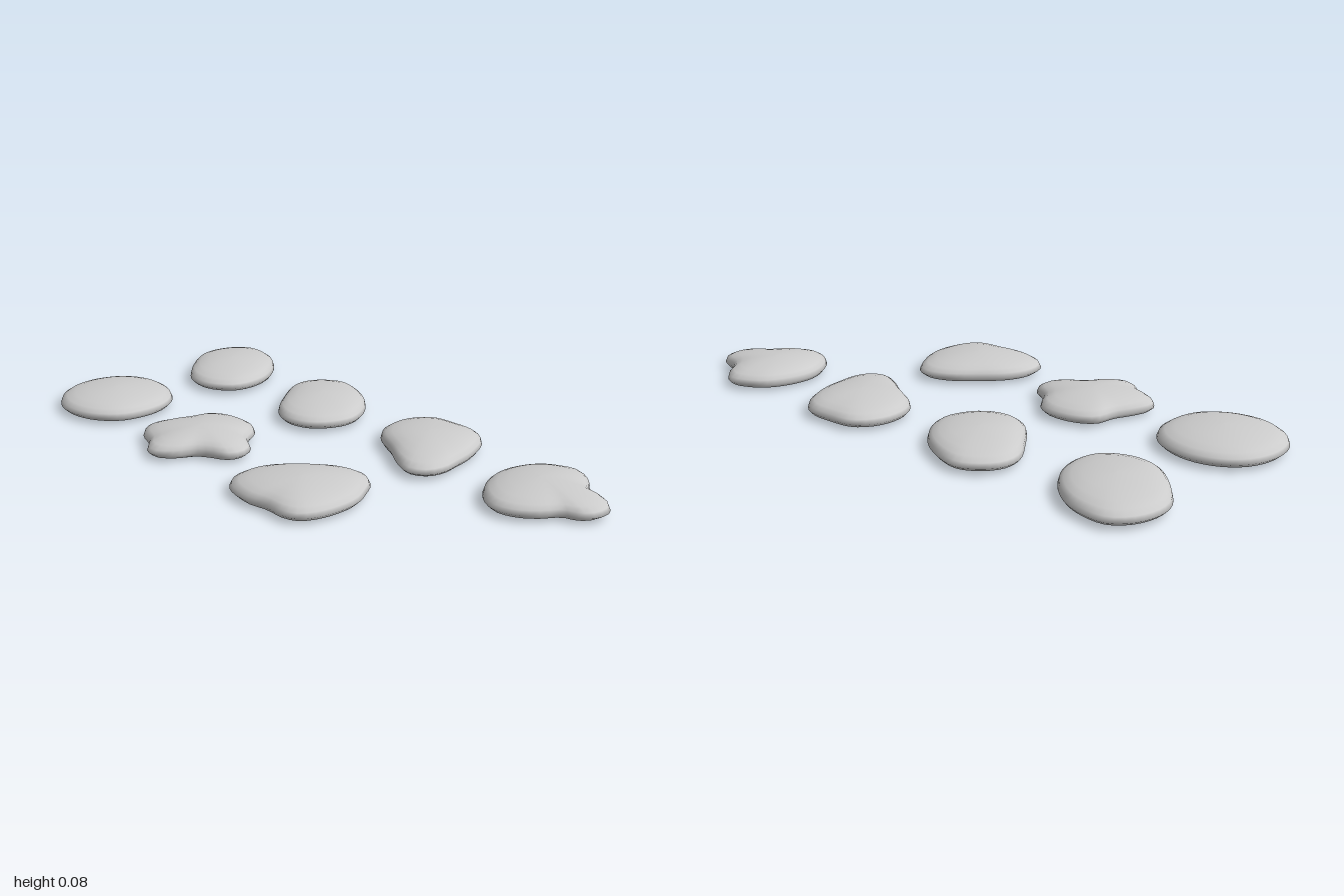
import * as THREE from 'three';

const material = new THREE.MeshStandardMaterial({ color: 0xcccccc });
const SEGMENTS = 44;

// Side profile from underside centre to crown: [share of outline, height]
const PROFILE = [
  [0, 0], [0.5, 0.001], [0.82, 0.004], [0.93, 0.009], [1, 0.022], [0.97, 0.038],
  [0.88, 0.05], [0.73, 0.06], [0.52, 0.068], [0.3, 0.073], [0.12, 0.075], [0, 0.0755],
];

// One flat stone: outline [x, z, ...] clockwise from above, domed about (cx, cz)
function pebble(name, cx, cz, outline) {
  const corners = [];
  for (let i = 0; i < outline.length; i += 2) corners.push(new THREE.Vector3(outline[i] - cx, 0, outline[i + 1] - cz));
  const edge = new THREE.CatmullRomCurve3(corners, true).getSpacedPoints(SEGMENTS).slice(0, SEGMENTS);
  const mean = edge.reduce((sum, p) => sum + p.length(), 0) / SEGMENTS;

  // Rings follow the outline at the rim and grow rounder toward the middle
  const positions = [], index = [];
  PROFILE.forEach(([s, y], i) => {
    edge.forEach((p, j) => {
      const r = s * THREE.MathUtils.lerp(mean / p.length(), 1, s);
      positions.push(cx + p.x * r, y, cz + p.z * r);
      if (i === PROFILE.length - 1) return;
      const a = i * SEGMENTS + j, b = i * SEGMENTS + (j + 1) % SEGMENTS;
      const c = a + SEGMENTS, d = b + SEGMENTS;
      if (i > 0) index.push(a, c, b);
      if (i < PROFILE.length - 2) index.push(b, c, d);
      if (i === 0) index.push(b, c, d);
    });
  });
  const geometry = new THREE.BufferGeometry();
  geometry.setAttribute('position', new THREE.Float32BufferAttribute(positions, 3));
  geometry.setIndex(index);
  geometry.computeVertexNormals();
  const mesh = new THREE.Mesh(geometry, material);
  mesh.name = name;
  return mesh;
}

export function createModel() {
  const group = new THREE.Group();
  group.name = 'pebbles';

  // Back row
  group.add(pebble('ovalPebble', -0.8, -0.27, [
    -0.92, -0.47, -0.8, -0.46, -0.7, -0.4, -0.62, -0.3, -0.595, -0.2, -0.61, -0.13, -0.67, -0.08,
    -0.735, -0.065, -0.815, -0.083, -0.91, -0.16, -0.985, -0.255, -1, -0.335, -0.975, -0.42]));
  group.add(pebble('slantedPebble', -0.265, -0.27, [
    -0.355, -0.473, -0.25, -0.446, -0.16, -0.393, -0.09, -0.313, -0.06, -0.227, -0.09, -0.13, -0.14, -0.083,
    -0.217, -0.067, -0.302, -0.1, -0.388, -0.195, -0.463, -0.307, -0.463, -0.382, -0.414, -0.446]));
  group.add(pebble('wedgePebble', 0.265, -0.29, [
    0.136, -0.463, 0.217, -0.473, 0.313, -0.473, 0.377, -0.43, 0.43, -0.324, 0.452, -0.227, 0.463, -0.168,
    0.446, -0.1, 0.393, -0.07, 0.318, -0.094, 0.222, -0.152, 0.126, -0.2, 0.078, -0.26, 0.065, -0.356, 0.094, -0.43]));
  group.add(pebble('knobbedPebble', 0.76, -0.27, [
    0.757, -0.473, 0.82, -0.44, 0.858, -0.393, 0.896, -0.366, 0.955, -0.356, 0.997, -0.313, 0.997, -0.254,
    0.97, -0.217, 0.917, -0.195, 0.874, -0.13, 0.82, -0.083, 0.757, -0.067, 0.693, -0.094, 0.634, -0.158,
    0.602, -0.238, 0.607, -0.329, 0.644, -0.414, 0.703, -0.457]));

  // Front row
  group.add(pebble('roundPebble', -0.795, 0.265, [
    -0.8, 0.06, -0.69, 0.09, -0.62, 0.16, -0.596, 0.26, -0.618, 0.366, -0.698, 0.44, -0.815, 0.465,
    -0.912, 0.43, -0.976, 0.36, -1, 0.254, -0.97, 0.147, -0.9, 0.083]));
  group.add(pebble('lobedPebble', -0.28, 0.26, [
    -0.356, 0.072, -0.25, 0.062, -0.19, 0.094, -0.147, 0.158, -0.083, 0.195, -0.06, 0.243, -0.078, 0.291,
    -0.13, 0.318, -0.18, 0.35, -0.206, 0.414, -0.26, 0.465, -0.307, 0.457, -0.35, 0.42, -0.425, 0.393,
    -0.468, 0.345, -0.452, 0.265, -0.425, 0.2, -0.414, 0.115]));
  group.add(pebble('blockyPebble', 0.28, 0.28, [
    0.324, 0.06, 0.382, 0.083, 0.425, 0.14, 0.463, 0.217, 0.463, 0.35, 0.43, 0.42, 0.382, 0.44,
    0.297, 0.44, 0.222, 0.457, 0.126, 0.44, 0.078, 0.393, 0.067, 0.318, 0.094, 0.243, 0.163, 0.163, 0.243, 0.088]));
  return group;
}
